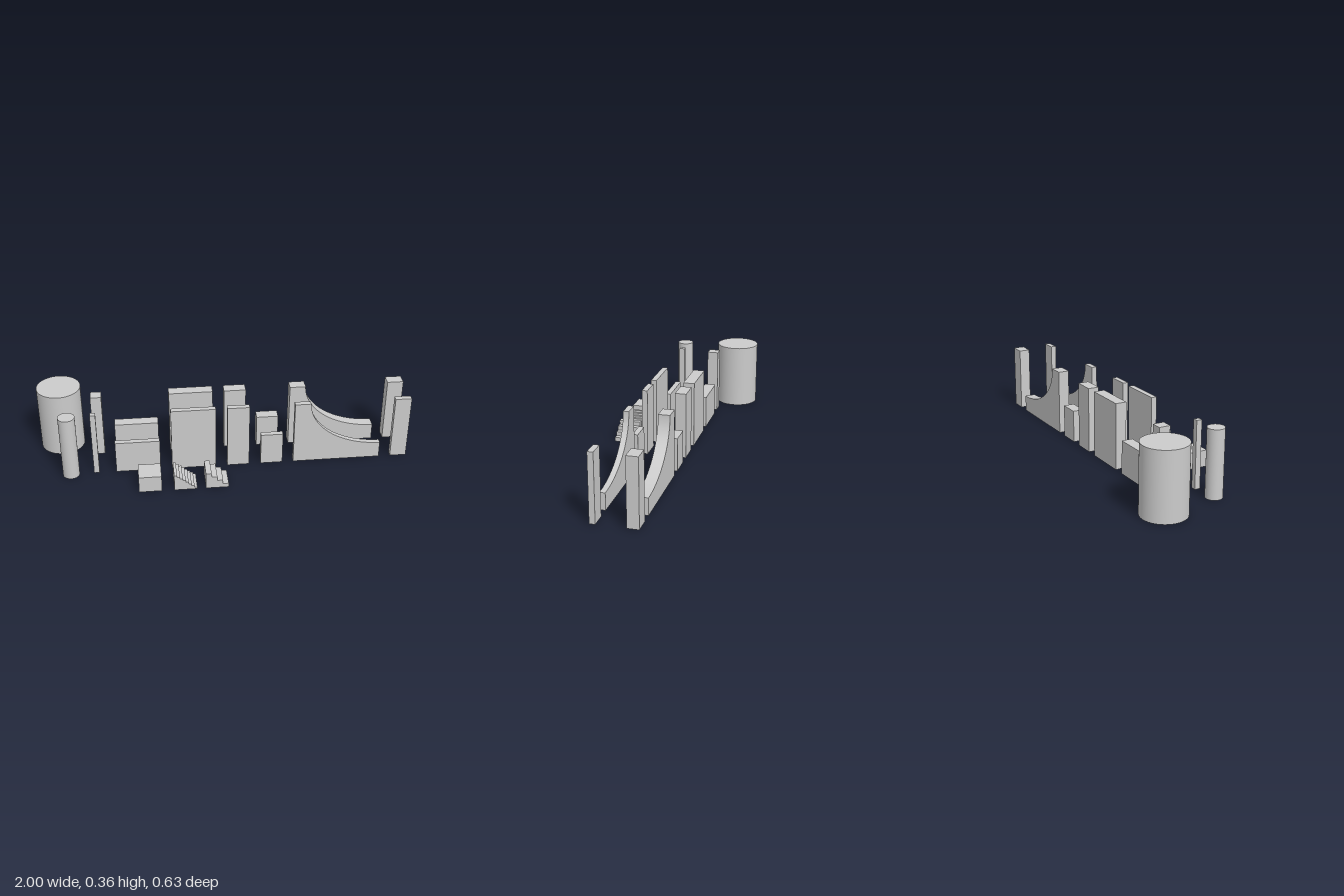
import * as THREE from 'three';

const FULL = 0.36, HALF = 0.18, LOW = 0.091;

export function createModel() {
  const model = new THREE.Group();
  const material = new THREE.MeshStandardMaterial({ color: 0xcccccc });

  function add(name, geometry, x, y, z) {
    const mesh = new THREE.Mesh(geometry, material);
    mesh.name = name;
    mesh.position.set(x, y, z);
    model.add(mesh);
  }

  // box standing on the ground, given by its extents
  function block(name, x0, x1, z0, z1, h) {
    add(name, new THREE.BoxGeometry(x1 - x0, h, z1 - z0), (x0 + x1) / 2, h / 2, (z0 + z1) / 2);
  }

  function column(name, x, z, r) {
    add(name, new THREE.CylinderGeometry(r, r, FULL, 64), x, FULL / 2, z);
  }

  // side profile extruded from z0 to z1
  function slab(name, shape, z0, z1) {
    const geometry = new THREE.ExtrudeGeometry(shape, { depth: z1 - z0, bevelEnabled: false, curveSegments: 32 });
    add(name, geometry, 0, 0, z0);
  }

  // quarter pipe: flat top, then a concave quarter ellipse down to a low end
  function rampShape() {
    const s = new THREE.Shape();
    s.moveTo(0.372, 0);
    s.lineTo(0.848, 0);
    s.lineTo(0.848, LOW);
    s.absellipse(0.848, FULL, 0.848 - 0.458, FULL - LOW, Math.PI * 1.5, Math.PI, true);
    s.lineTo(0.372, FULL);
    s.closePath();
    return s;
  }

  // steps going down towards +x
  function stairShape(x0, x1, steps) {
    const s = new THREE.Shape();
    const run = (x1 - x0) / steps, rise = LOW / steps;
    s.moveTo(x0, 0);
    s.lineTo(x1, 0);
    for (let i = 1; i <= steps; i++) {
      s.lineTo(x1 - (i - 1) * run, i * rise);
      s.lineTo(x1 - i * run, i * rise);
    }
    s.closePath();
    return s;
  }

  // round columns
  column('largeColumn', -0.881, -0.198, 0.119);
  column('smallColumn', -0.829, 0.119, 0.0445);

  // thin front row and thick back row of the same walls
  const rows = [
    { side: 'front', z0: 0.09, z1: 0.12, postEnd: -0.679 },
    { side: 'back', z0: -0.122, z1: -0.061, postEnd: -0.649 },
  ];
  for (const { side, z0, z1, postEnd } of rows) {
    block(side + 'SquarePost', -0.708, postEnd, z0, z1, FULL);
    block(side + 'WideHalfWall', -0.588, -0.35, z0, z1, HALF);
    block(side + 'WideWall', -0.288, -0.05, z0, z1, FULL);
    block(side + 'NarrowWall', 0.011, 0.13, z0, z1, FULL);
    block(side + 'NarrowHalfWall', 0.193, 0.312, z0, z1, HALF);
    slab(side + 'CurvedRamp', rampShape(), z0, z1);
    block(side + 'EndWall', 0.912, 1, z0, z1, FULL);
  }

  // low block and two stairs in front
  block('lowBlock', -0.473, -0.353, 0.198, 0.318, LOW);
  slab('fineStairs', stairShape(-0.288, -0.168, 8), 0.198, 0.318);
  slab('coarseStairs', stairShape(-0.122, -0.002, 4), 0.198, 0.318);

  return model;
}
